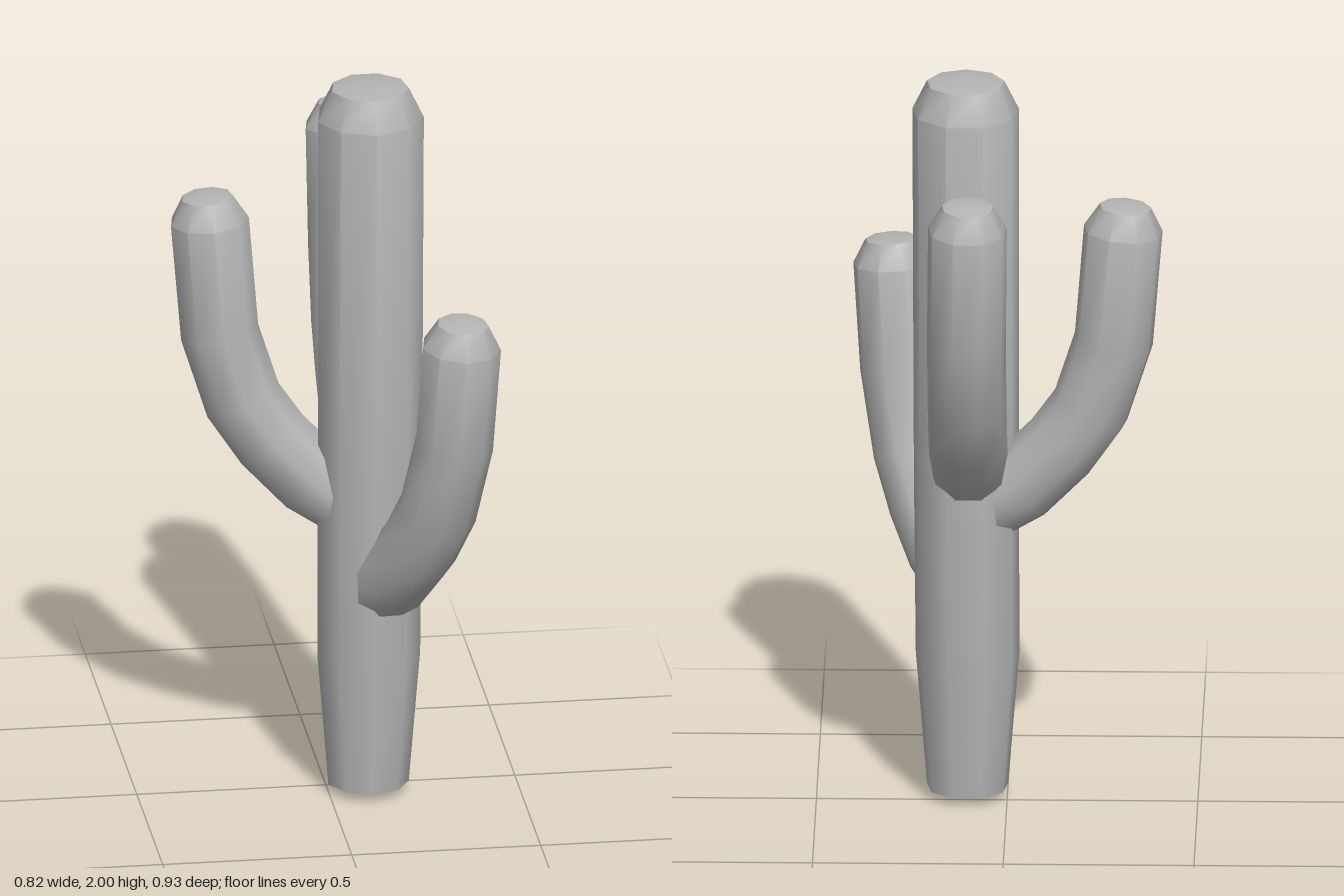
import * as THREE from 'three';
import { toCreasedNormals } from 'three/addons/utils/BufferGeometryUtils.js';

const SIDES = 9;

// Skins a closed stem through rings of [x, y, z, radius]; radius 0 closes an end.
function stemGeometry(rings) {
  const centres = rings.map(([x, y, z]) => new THREE.Vector3(x, y, z));
  const up = new THREE.Vector3(0, 1, 0);
  const positions = [], index = [];
  rings.forEach(([, , , radius], i) => {
    const before = centres[Math.max(i - 1, 0)];
    const after = centres[Math.min(i + 1, rings.length - 1)];
    const tilt = new THREE.Quaternion().setFromUnitVectors(up, after.clone().sub(before).normalize());
    for (let j = 0; j < SIDES; j++) {
      const a = Math.PI / 2 + (j / SIDES) * Math.PI * 2;
      const p = new THREE.Vector3(Math.cos(a) * radius, 0, Math.sin(a) * radius);
      positions.push(...p.applyQuaternion(tilt).add(centres[i]).toArray());
    }
  });
  for (let i = 0; i < rings.length - 1; i++) {
    for (let j = 0; j < SIDES; j++) {
      const a = i * SIDES + j, b = i * SIDES + (j + 1) % SIDES;
      const c = a + SIDES, d = b + SIDES;
      if (rings[i][3] > 0) index.push(a, c, b);
      if (rings[i + 1][3] > 0) index.push(b, c, d);
    }
  }
  const geometry = new THREE.BufferGeometry();
  geometry.setAttribute('position', new THREE.Float32BufferAttribute(positions, 3));
  geometry.setIndex(index);
  return toCreasedNormals(geometry, 0.8);
}

// Arm path points, then a chamfered cap continuing along the last segment.
function armRings(points, radius = 0.105) {
  const rings = points.map((p) => [...p, radius]);
  const end = new THREE.Vector3(...points.at(-1));
  const dir = end.clone().sub(new THREE.Vector3(...points.at(-2))).normalize();
  for (const [along, r] of [[0.065, 0.068], [0.08, 0]]) {
    rings.push([...end.clone().addScaledVector(dir, along).toArray(), r]);
  }
  return [[...points[0], 0], ...rings.map((r, i) => (i === 0 ? [...r.slice(0, 3), radius * 0.9] : r))];
}

export function createModel() {
  const group = new THREE.Group();
  group.name = 'cactus';
  const skin = new THREE.MeshStandardMaterial({ color: 0xb4b4b4 });
  skin.name = 'plain grey';

  const add = (name, rings) => {
    const mesh = new THREE.Mesh(stemGeometry(rings), skin);
    mesh.name = name;
    group.add(mesh);
  };

  // Trunk: narrow foot, straight column, chamfered top
  add('trunk', [
    [0.105, 0, 0.04, 0], [0.105, 0.025, 0.04, 0.108], [0.105, 0.39, 0.04, 0.138],
    [0.108, 0.9, 0.04, 0.14], [0.11, 1.9, 0.045, 0.142], [0.11, 1.98, 0.045, 0.103], [0.11, 2, 0.045, 0],
  ]);

  // Three upturned arms
  add('rightArm', armRings([
    [0.07, 0.8, 0.03], [-0.04, 0.88, 0.015], [-0.145, 0.99, 0], [-0.22, 1.1, -0.012],
    [-0.28, 1.29, -0.025], [-0.305, 1.6, -0.03],
  ]));
  add('frontArm', armRings([
    [0.12, 0.58, 0.08], [0.165, 0.645, 0.15], [0.215, 0.75, 0.225], [0.255, 0.87, 0.285],
    [0.29, 1.08, 0.345], [0.308, 1.365, 0.365],
  ]));
  add('backArm', armRings([
    [0.1, 0.9, 0.02], [0.1, 0.98, -0.09], [0.1, 1.08, -0.19], [0.1, 1.2, -0.275],
    [0.1, 1.4, -0.337], [0.097, 1.715, -0.362],
  ]));

  return group;
}
